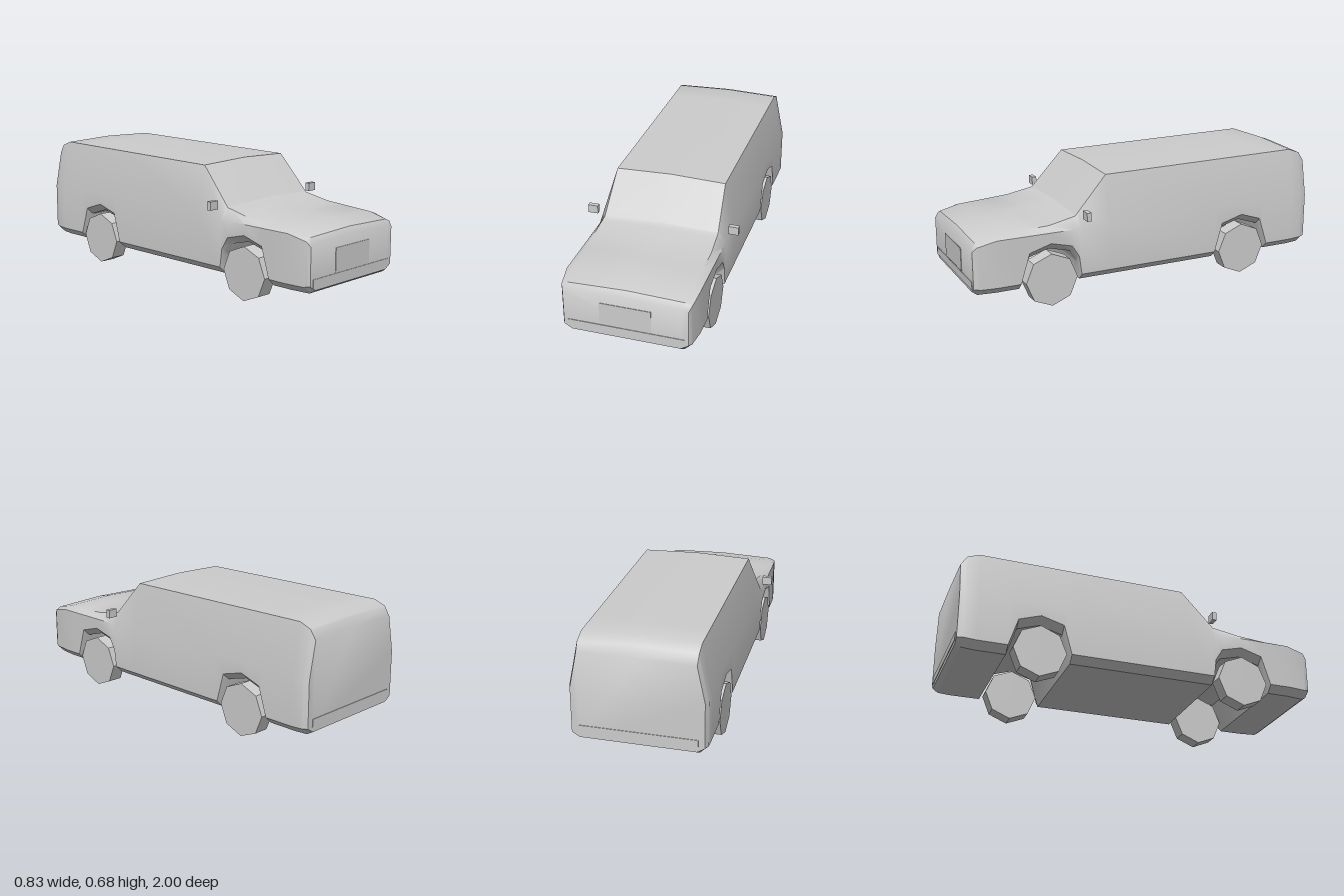
import * as THREE from 'three';
import { toCreasedNormals } from 'three/addons/utils/BufferGeometryUtils.js';

// Tables of [z, value] running from nose to tail
const TOP = [[0.997, 0.37], [0.975, 0.4], [0.87, 0.425], [0.58, 0.441], [0.43, 0.47], [0.25, 0.669],
  [-0.9, 0.68], [-0.965, 0.655], [-0.997, 0.605]];
const BELT = [[0.997, 0.35], [0.975, 0.375], [0.87, 0.4], [-0.997, 0.4]];
const WIDTH = [[0.997, 0.325], [0.975, 0.337], [0.87, 0.35], [-0.965, 0.35], [-0.997, 0.338]];
const TOP_WIDTH = [[0.997, 0.295], [0.975, 0.305], [0.58, 0.318], [0.43, 0.312], [0.25, 0.3],
  [-0.965, 0.3], [-0.997, 0.298]];
const UNDER = [[0.997, 0.128], [0.97, 0.11],
  [0.75, 0.11], [0.7, 0.27], [0.58, 0.305], [0.465, 0.275], [0.425, 0.21], [0.412, 0.11],
  [-0.395, 0.11], [-0.44, 0.27], [-0.565, 0.305], [-0.685, 0.265], [-0.735, 0.11],
  [-0.9, 0.11], [-0.97, 0.115], [-0.997, 0.13]];

function at(table, z) {
  for (let i = 0; i < table.length - 1; i++) {
    const [z0, a] = table[i], [z1, b] = table[i + 1];
    if (z <= z0 && z >= z1) return a + (b - a) * (z0 - z) / (z0 - z1);
  }
  return table[table.length - 1][1];
}

// Body shell: cross-sections lofted from nose to tail, with arches cut into the underside
function bodyGeometry() {
  const zs = [...new Set([TOP, BELT, WIDTH, TOP_WIDTH, UNDER].flat().map(p => p[0]))].sort((a, b) => b - a);
  const positions = [], index = [];
  for (const z of zs) {
    const top = at(TOP, z), under = at(UNDER, z), w = at(WIDTH, z);
    const sill = under + (Math.abs(z) > 0.98 ? 0.025 : 0.038);
    const half = [[w - 0.04, under], [w, sill], [w, at(BELT, z)], [at(TOP_WIDTH, z), top - 0.01]];
    const ring = [...half, [0, top], ...half.map(([x, y]) => [-x, y]).reverse()];
    for (const [x, y] of ring) positions.push(x, y, z);
  }
  const n = 9;
  for (let i = 0; i < zs.length - 1; i++) {
    for (let j = 0; j < n; j++) {
      const a = i * n + j, b = i * n + (j + 1) % n, c = a + n, d = b + n;
      index.push(a, c, b, b, c, d);
    }
  }
  const last = (zs.length - 1) * n;
  for (let j = 1; j < n - 1; j++) {
    index.push(0, j, j + 1);
    index.push(last, last + j + 1, last + j);
  }
  const g = new THREE.BufferGeometry();
  g.setAttribute('position', new THREE.Float32BufferAttribute(positions, 3));
  g.setIndex(index);
  return toCreasedNormals(g, 0.7);
}

export function createModel() {
  const model = new THREE.Group();
  model.name = 'van';
  const grey = new THREE.MeshStandardMaterial({ color: 0xcccccc });
  grey.name = 'light grey';

  const add = (name, geometry, x, y, z) => {
    const mesh = new THREE.Mesh(geometry, grey);
    mesh.name = name;
    mesh.position.set(x, y, z);
    model.add(mesh);
    return mesh;
  };

  add('body', bodyGeometry(), 0, 0, 0);

  // Grille and bumper plates
  add('grille', new THREE.BoxGeometry(0.27, 0.125, 0.006), 0, 0.2525, 0.997);
  add('frontBumper', new THREE.BoxGeometry(0.61, 0.043, 0.006), 0, 0.1635, 0.997);
  add('rearBumper', new THREE.BoxGeometry(0.61, 0.043, 0.006), 0, 0.1765, -0.997);

  // Eight-sided wheels, a corner resting on the ground
  const wheel = toCreasedNormals(new THREE.CylinderGeometry(0.143, 0.143, 0.084, 8).rotateZ(Math.PI / 2), 0.3);
  const mirror = new THREE.BoxGeometry(0.054, 0.045, 0.025);
  for (const [side, label] of [[1, 'left'], [-1, 'right']]) {
    add(label + 'FrontWheel', wheel, side * 0.307, 0.143, 0.58);
    add(label + 'RearWheel', wheel, side * 0.307, 0.143, -0.565);
    add(label + 'DoorMirror', mirror, side * 0.388, 0.477, 0.395);
  }
  return model;
}
